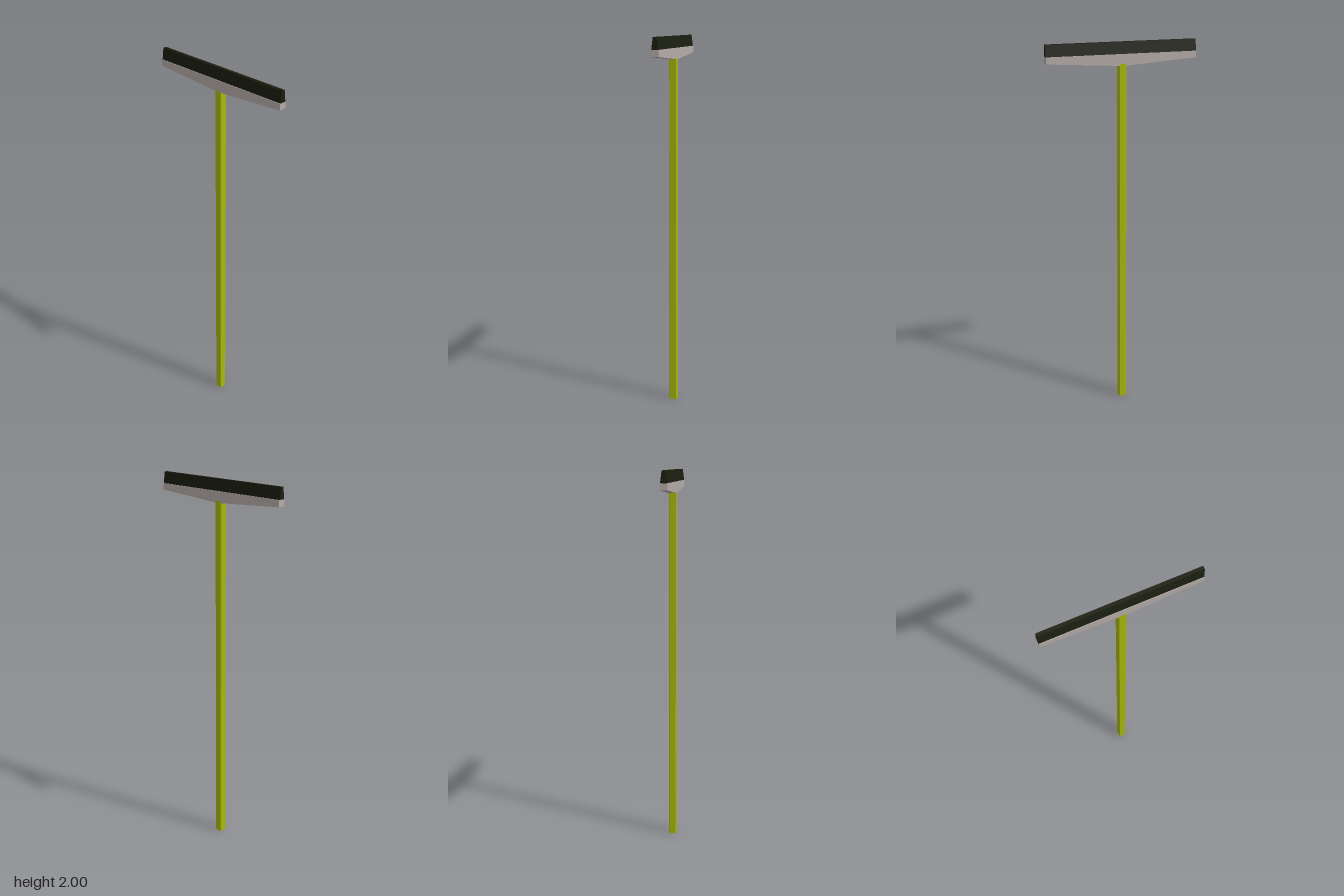
import * as THREE from 'three';

// Extrude a closed outline symmetrically about z = 0
function prism(points, depth) {
  const shape = new THREE.Shape(points.map(([x, y]) => new THREE.Vector2(x, y)));
  const geometry = new THREE.ExtrudeGeometry(shape, { depth, bevelEnabled: false });
  return geometry.translate(0, 0, -depth / 2);
}

function part(name, geometry, color) {
  const material = new THREE.MeshStandardMaterial({ color, flatShading: true });
  const mesh = new THREE.Mesh(geometry, material);
  mesh.name = name;
  return mesh;
}

export function createModel() {
  const group = new THREE.Group();
  group.name = 'squeegee';

  // Square pole with finely chamfered edges
  const h = 0.02, c = 0.017, poleHeight = 1.89;
  const pole = prism([[-c, -h], [c, -h], [h, -c], [h, c], [c, h], [-c, h], [-h, c], [-h, -c]], poleHeight);
  pole.rotateX(-Math.PI / 2).translate(0, poleHeight / 2, 0);
  group.add(part('handle', pole, 0xa9b80c));

  // Holder bar, deepest at the pole
  const holder = prism([[-0.4, 1.906], [0, 1.88], [0.4, 1.906], [0.4, 1.94], [-0.4, 1.94]], 0.04);
  group.add(part('bladeHolder', holder, 0xb5aca8));

  // Rubber blade, tapering toward its top edge
  const blade = prism([[-0.017, 1.94], [0.017, 1.94], [0.009, 2], [-0.009, 2]], 0.8);
  blade.rotateY(Math.PI / 2);
  group.add(part('rubberBlade', blade, 0x1b1e10));

  return group;
}
